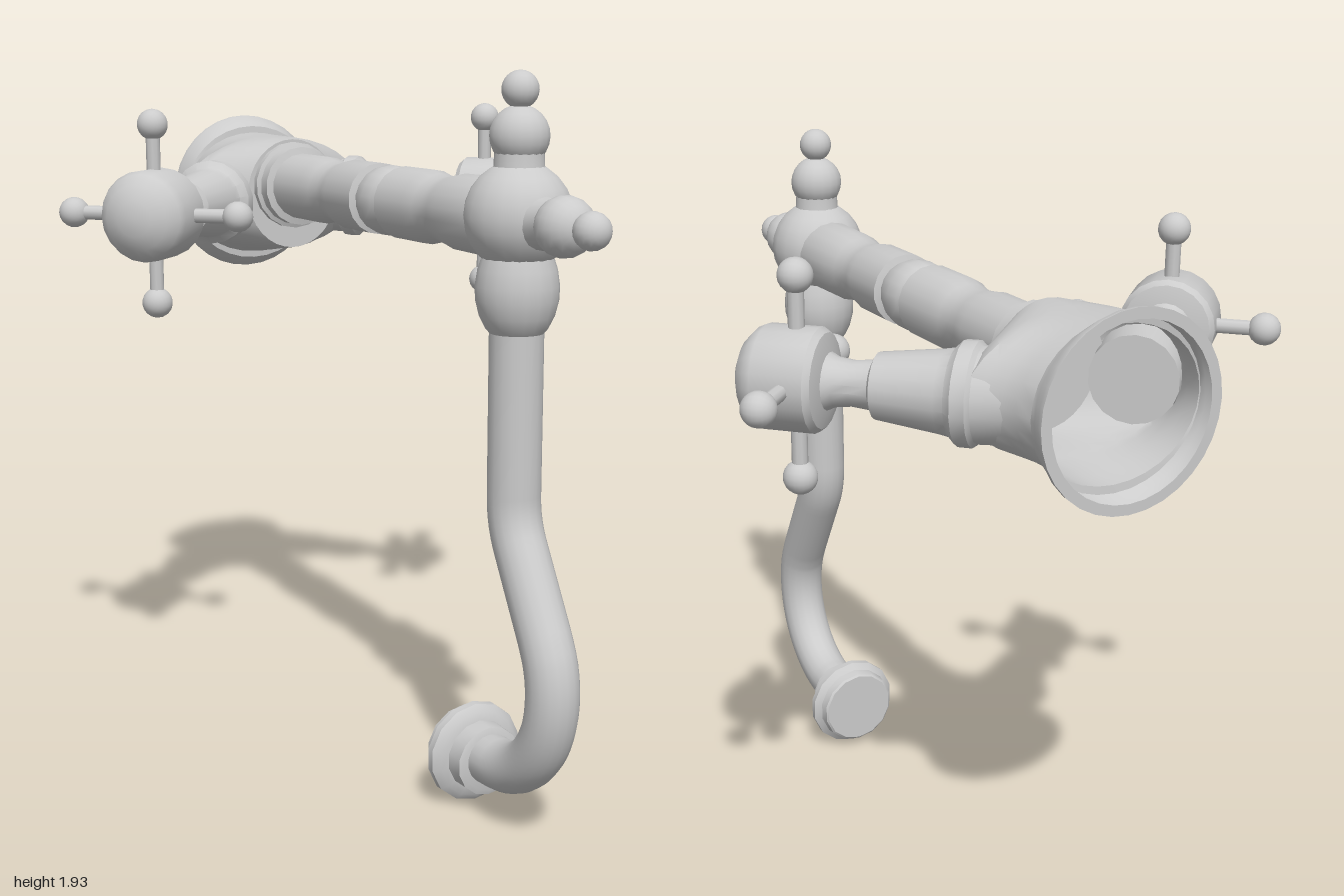
import * as THREE from 'three';
import { toCreasedNormals } from 'three/addons/utils/BufferGeometryUtils.js';

const material = new THREE.MeshStandardMaterial({ color: 0xcccccc });
const shellMaterial = new THREE.MeshStandardMaterial({ color: 0xcccccc, side: THREE.DoubleSide });

function add(parent, name, geometry, x = 0, y = 0, z = 0, mat = material) {
  const mesh = new THREE.Mesh(geometry, mat);
  mesh.name = name;
  mesh.position.set(x, y, z);
  parent.add(mesh);
  return mesh;
}

// turned part: [radius, height] pairs from bottom to top
function turned(profile, sides = 18) {
  const points = profile.map(([r, h]) => new THREE.Vector2(r, h));
  return toCreasedNormals(new THREE.LatheGeometry(points, sides), 0.6);
}

const ball = (r) => new THREE.SphereGeometry(r, 18, 12);

// skin over elliptical sections [z, halfWidth, halfHeight, centreY], front to back
function loft(sections, sides = 32) {
  const positions = [], index = [];
  sections.forEach(([z, w, h, cy], i) => {
    for (let j = 0; j < sides; j++) {
      const a = (j / sides) * Math.PI * 2;
      positions.push(w * Math.cos(a), cy + h * Math.sin(a), z);
      if (i === sections.length - 1) continue;
      const p = i * sides + j, q = i * sides + (j + 1) % sides;
      index.push(p, p + sides, q, q, p + sides, q + sides);
    }
  });
  const geometry = new THREE.BufferGeometry();
  geometry.setAttribute('position', new THREE.Float32BufferAttribute(positions, 3));
  geometry.setIndex(index);
  return toCreasedNormals(geometry, 0.6);
}

// side valve with its cross handle; local +y points outward along the valve
function createValve(side) {
  const valve = new THREE.Group();
  valve.name = side > 0 ? 'leftValve' : 'rightValve';
  valve.position.set(side * 0.54, 1.53, -0.394);
  valve.rotation.order = 'YXZ';
  valve.rotation.set(Math.PI / 2, side * 0.785, 0);

  add(valve, 'valveStem', turned([
    [0, -0.55], [0.11, -0.55], [0.115, -0.45], [0.125, -0.44], [0.125, -0.405], [0.105, -0.385],
    [0.1, -0.36], [0.08, -0.2], [0.06, -0.19], [0.055, -0.14], [0.06, -0.1], [0.075, -0.07], [0, -0.06],
  ]));
  add(valve, 'handleBody', turned([
    [0, -0.08], [0.075, -0.08], [0.115, -0.07], [0.127, -0.055], [0.127, 0.075],
    [0.118, 0.095], [0.09, 0.122], [0.05, 0.14], [0, 0.147],
  ], 20));
  for (let i = 0; i < 4; i++) {
    const spoke = new THREE.Group();
    spoke.name = 'handleSpoke';
    spoke.rotation.y = i * Math.PI / 2;
    const rod = add(spoke, 'spokeRod', new THREE.CylinderGeometry(0.02, 0.02, 0.16, 10), 0.165);
    rod.rotation.z = Math.PI / 2;
    add(spoke, 'spokeKnob', ball(0.043), 0.249);
    valve.add(spoke);
  }
  return valve;
}

// finial of two stacked balls on a neck; local +y points away from the hub
function createFinial(name) {
  const finial = new THREE.Group();
  finial.name = name;
  add(finial, 'finialNeck', turned([[0.07, 0.08], [0.062, 0.13], [0.06, 0.17]]));
  add(finial, 'finialBall', ball(0.074), 0, 0.2);
  add(finial, 'finialTip', ball(0.046), 0, 0.309);
  finial.position.set(0, 1.58, 0.645);
  return finial;
}

export function createModel() {
  const model = new THREE.Group();
  model.name = 'wallFaucet';

  // hollow wall body with flared flange, open at the back
  add(model, 'wallBody', loft([
    [-0.635, 0, 0, 1.55], [-0.635, 0.15, 0.165, 1.55], [-0.68, 0.21, 0.17, 1.548],
    [-0.74, 0.285, 0.173, 1.545], [-0.775, 0.305, 0.176, 1.542], [-0.8, 0.28, 0.179, 1.54],
    [-0.84, 0.25, 0.182, 1.538], [-0.88, 0.235, 0.186, 1.535], [-0.935, 0.228, 0.19, 1.533],
    [-0.937, 0.23, 0.21, 1.533], [-0.955, 0.232, 0.222, 1.533], [-0.985, 0.242, 0.24, 1.533],
    [-1, 0.243, 0.242, 1.533], [-1, 0.215, 0.215, 1.533],
  ]), 0, 0, 0, shellMaterial);

  // horizontal arm, profile runs along z
  const arm = add(model, 'arm', turned([
    [0, -0.68], [0.13, -0.68], [0.13, -0.615], [0.118, -0.61], [0.118, -0.57], [0.098, -0.565],
    [0.098, -0.39], [0.09, -0.345], [0.085, -0.3], [0.09, -0.26], [0.099, -0.22], [0.099, -0.065],
    [0.08, -0.06], [0.092, -0.035], [0.097, 0.005], [0.092, 0.045], [0.08, 0.075],
    [0.098, 0.08], [0.098, 0.23], [0.09, 0.27], [0.085, 0.31], [0.09, 0.35],
    [0.098, 0.395], [0.1, 0.55], [0.085, 0.64],
  ]), 0, 1.577, 0);
  arm.rotation.x = Math.PI / 2;

  // hub with finials on top and in front
  add(model, 'hub', ball(0.135), 0, 1.588, 0.645);
  model.add(createFinial('topFinial'));
  const frontFinial = createFinial('frontFinial');
  frontFinial.rotation.x = Math.PI / 2;
  model.add(frontFinial);

  // collar under the hub
  add(model, 'spoutCollar', turned([
    [0.065, 1.3], [0.078, 1.315], [0.093, 1.345], [0.103, 1.385], [0.104, 1.42], [0.098, 1.46], [0.085, 1.5],
  ]), 0, 0, 0.645);

  // curved spout: straight drop, slanted run, then an arc back to the outlet
  const at = (z, y) => new THREE.Vector3(0, y, z);
  const spoutPath = new THREE.CurvePath();
  spoutPath.add(new THREE.LineCurve3(at(0.645, 1.36), at(0.645, 0.89)));
  spoutPath.add(new THREE.QuadraticBezierCurve3(at(0.645, 0.89), at(0.645, 0.823), at(0.678, 0.766)));
  spoutPath.add(new THREE.LineCurve3(at(0.678, 0.766), at(0.799, 0.555)));
  const arcPoints = [];
  for (let i = 0; i <= 10; i++) {
    const a = THREE.MathUtils.degToRad(30 - i * 12);
    arcPoints.push(at(0.565 + 0.27 * Math.cos(a), 0.42 + 0.27 * Math.sin(a)));
  }
  spoutPath.add(new THREE.CatmullRomCurve3(arcPoints));
  spoutPath.add(new THREE.LineCurve3(at(0.565, 0.15), at(0.5, 0.145)));
  add(model, 'spout', new THREE.TubeGeometry(spoutPath, 60, 0.068, 18, false));

  // outlet, profile runs towards the back
  const outlet = add(model, 'outlet', turned([
    [0, -0.55], [0.08, -0.55], [0.094, -0.545], [0.096, -0.495], [0.118, -0.49], [0.136, -0.475],
    [0.137, -0.455], [0.118, -0.44], [0.114, -0.415], [0.108, -0.41], [0, -0.41],
  ], 14), 0, 0.14, 0);
  outlet.rotation.x = -Math.PI / 2;

  for (const side of [1, -1]) model.add(createValve(side));
  return model;
}
